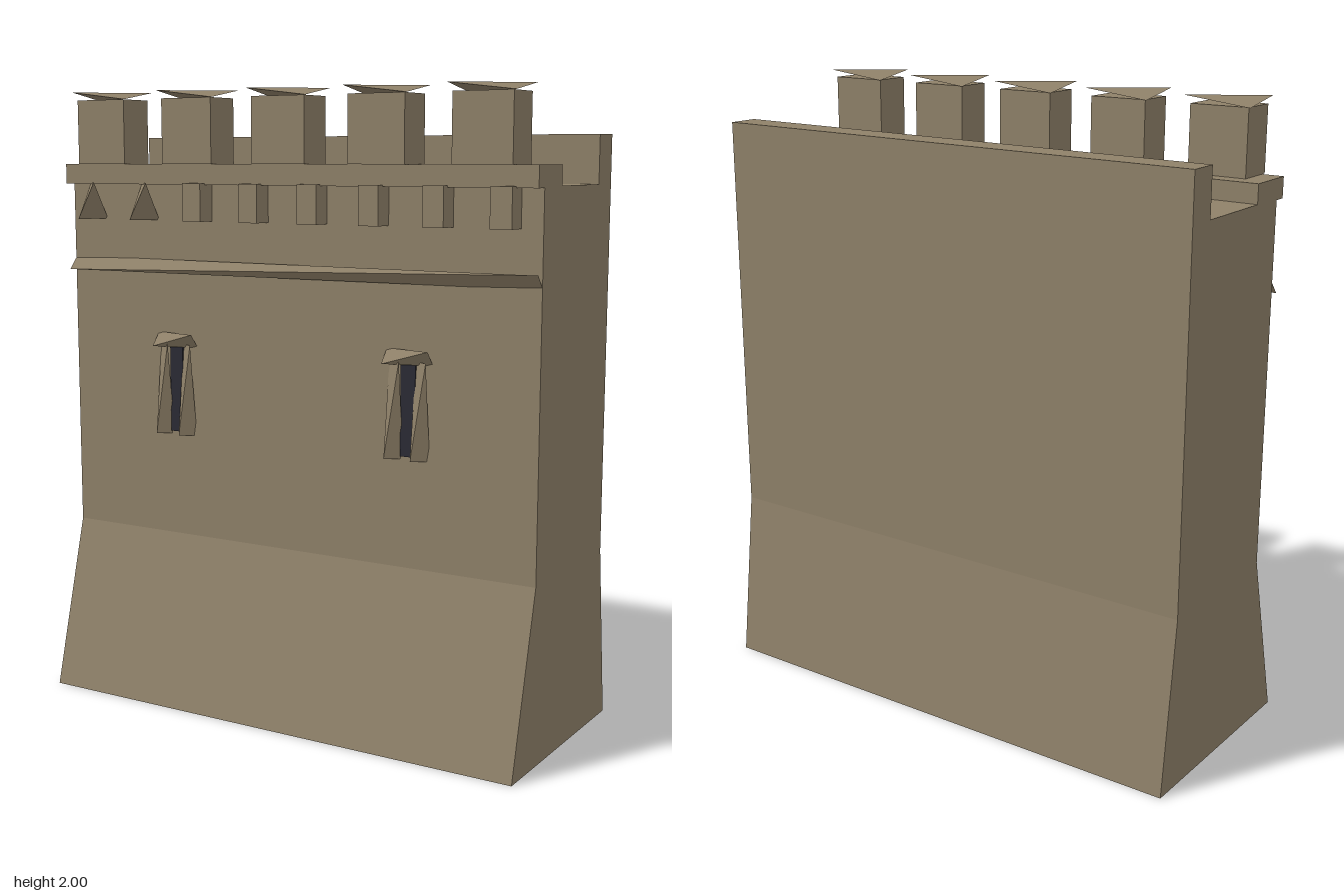
import * as THREE from 'three';

const stone = new THREE.MeshStandardMaterial({ color: 0x8f8169, flatShading: true });
const dark = new THREE.MeshStandardMaterial({ color: 0x2b2b35, flatShading: true });

export function createModel() {
  const model = new THREE.Group();
  model.name = 'castleWall';

  // Places a geometry of unit size so that it fills the given bounds
  function fit(name, geometry, [x0, x1], [y0, y1], [z0, z1], material = stone) {
    geometry.scale(x1 - x0, y1 - y0, z1 - z0);
    const mesh = new THREE.Mesh(geometry, material);
    mesh.name = name;
    mesh.position.set((x0 + x1) / 2, (y0 + y1) / 2, (z0 + z1) / 2);
    model.add(mesh);
  }
  const block = () => new THREE.BoxGeometry(1, 1, 1);
  // Four-sided chip touching alternate corners of a unit box
  const chip = () => new THREE.TetrahedronGeometry(Math.sqrt(3) / 2);
  const around = (c, w) => [c - w / 2, c + w / 2];
  const full = [-0.85, 0.85];

  // Wall with battered foot: side profile (z, y) extruded along x
  const profile = new THREE.Shape([
    [-0.36, 0], [0.36, 0], [0.215, 0.555], [0.215, 1.71], [-0.295, 1.71], [-0.295, 0.555],
  ].map(([z, y]) => new THREE.Vector2(-z, y)));
  const wallGeometry = new THREE.ExtrudeGeometry(profile, { depth: 1.7, bevelEnabled: false });
  wallGeometry.translate(0, 0, -0.85).rotateY(Math.PI / 2);
  const wall = new THREE.Mesh(wallGeometry, stone);
  wall.name = 'wall';
  model.add(wall);

  // Parapets either side of the walkway, and the string course
  fit('backParapet', block(), full, [1.71, 1.86], [-0.295, -0.195]);
  fit('frontParapet', block(), full, [1.705, 1.77], [0.09, 0.255]);
  fit('stringCourse', chip(), full, [1.42, 1.463], [0.21, 0.247]);

  // Merlons with faceted cap stones
  for (let i = -2; i <= 2; i++) {
    const x = i * 0.342 - 0.002;
    fit('merlon', block(), around(x, 0.19), [1.77, 1.975], [0.145, 0.27]);
    fit('merlonCap', chip().rotateY(Math.PI / 2), around(x, 0.213), [1.975, 2], [0.13, 0.28]);
  }

  // Corbels under the front parapet; the two on the left are chipped
  for (let i = 0; i < 8; i++) {
    const x = -0.747 + i * 0.2135;
    fit('corbel', i < 2 ? chip() : block(), around(x, 0.068), [1.59, 1.71], [0.21, 0.28]);
  }

  // Arrow slits with rough jambs and lintels
  for (const x of [-0.43, 0.427]) {
    fit('arrowSlit', block(), around(x, 0.05), [0.9, 1.185], [0.2, 0.222], dark);
    for (const side of [-1, 1]) {
      fit('slitJamb', chip(), around(x + side * 0.045, 0.05), [0.89, 1.19], [0.21, 0.243]);
    }
    fit('slitLintel', chip(), around(x, 0.156), [1.18, 1.225], [0.21, 0.247]);
  }
  return model;
}
